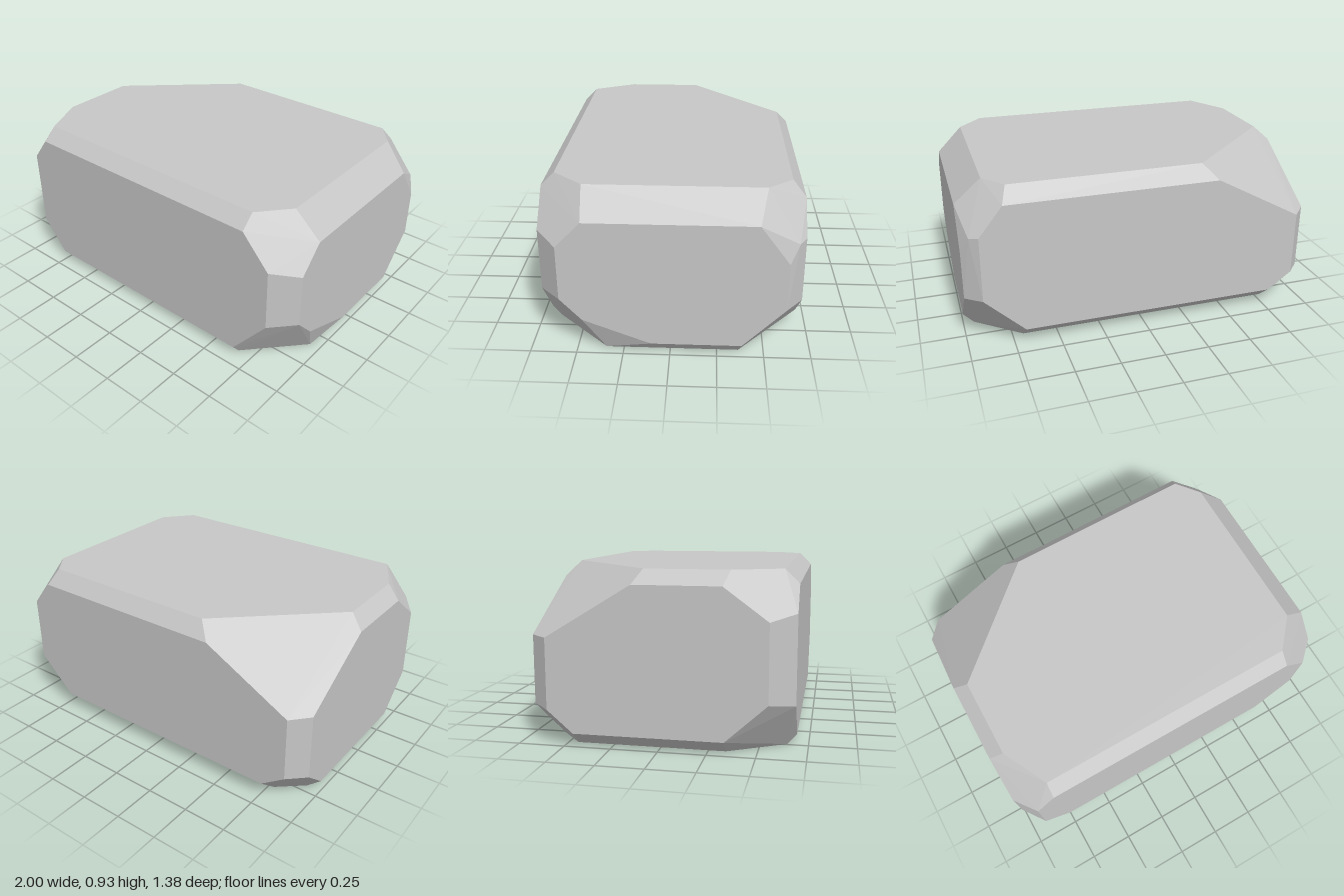
import * as THREE from 'three';
import { ConvexGeometry } from 'three/addons/geometries/ConvexGeometry.js';

// Outline of each flat side of the block, as pairs in that side's plane
const sides = [
  // front and back: x, y
  { at: (a, b) => [a, b, 0.69], outline: [[-0.795, 0.85], [0.71, 0.85], [0.87, 0.67], [0.87, 0.32], [0.66, 0.06], [-0.75, 0.06], [-0.905, 0.25], [-0.905, 0.715]] },
  { at: (a, b) => [a, b, -0.69], outline: [[0.78, 0.84], [-0.41, 0.84], [-0.91, 0.57], [-0.91, 0.2], [-0.77, 0.1], [0.69, 0.1], [0.91, 0.31], [0.91, 0.675]] },
  // left and right: z, y
  { at: (a, b) => [1, b, a], outline: [[0.44, 0.78], [-0.45, 0.78], [-0.605, 0.57], [-0.605, 0.3], [-0.38, 0.07], [0.1, 0.07], [0.46, 0.21], [0.575, 0.335], [0.575, 0.64]] },
  { at: (a, b) => [-1, b, a], outline: [[0.33, 0.85], [-0.13, 0.85], [-0.59, 0.57], [-0.59, 0.19], [-0.45, 0.07], [0.34, 0.07], [0.56, 0.27], [0.56, 0.68]] },
  // top and bottom: x, z
  { at: (a, b) => [a, 0.925, b], outline: [[-0.33, -0.62], [0.75, -0.62], [0.855, -0.49], [0.855, 0.45], [0.71, 0.615], [-0.79, 0.615], [-0.92, 0.36], [-0.92, -0.085]] },
  { at: (a, b) => [a, 0, b], outline: [[-0.74, 0.64], [0.66, 0.64], [0.94, 0.345], [0.94, -0.365], [0.69, -0.57], [-0.78, -0.57], [-0.92, -0.45], [-0.92, 0.34]] },
];

export function createModel() {
  const stone = new THREE.MeshStandardMaterial({ color: 0xc6c6c6 });
  stone.name = 'pale stone grey';

  const points = sides.flatMap(({ at, outline }) =>
    outline.map(([a, b]) => new THREE.Vector3(...at(a, b))));
  // chipped corner at the upper back
  points.push(new THREE.Vector3(0.957, 0.665, -0.653));

  // The hull joins the sides with bevels and corner facets
  const block = new THREE.Mesh(new ConvexGeometry(points), stone);
  block.name = 'stoneBlock';

  const model = new THREE.Group();
  model.name = 'bevelledStone';
  model.add(block);
  return model;
}
